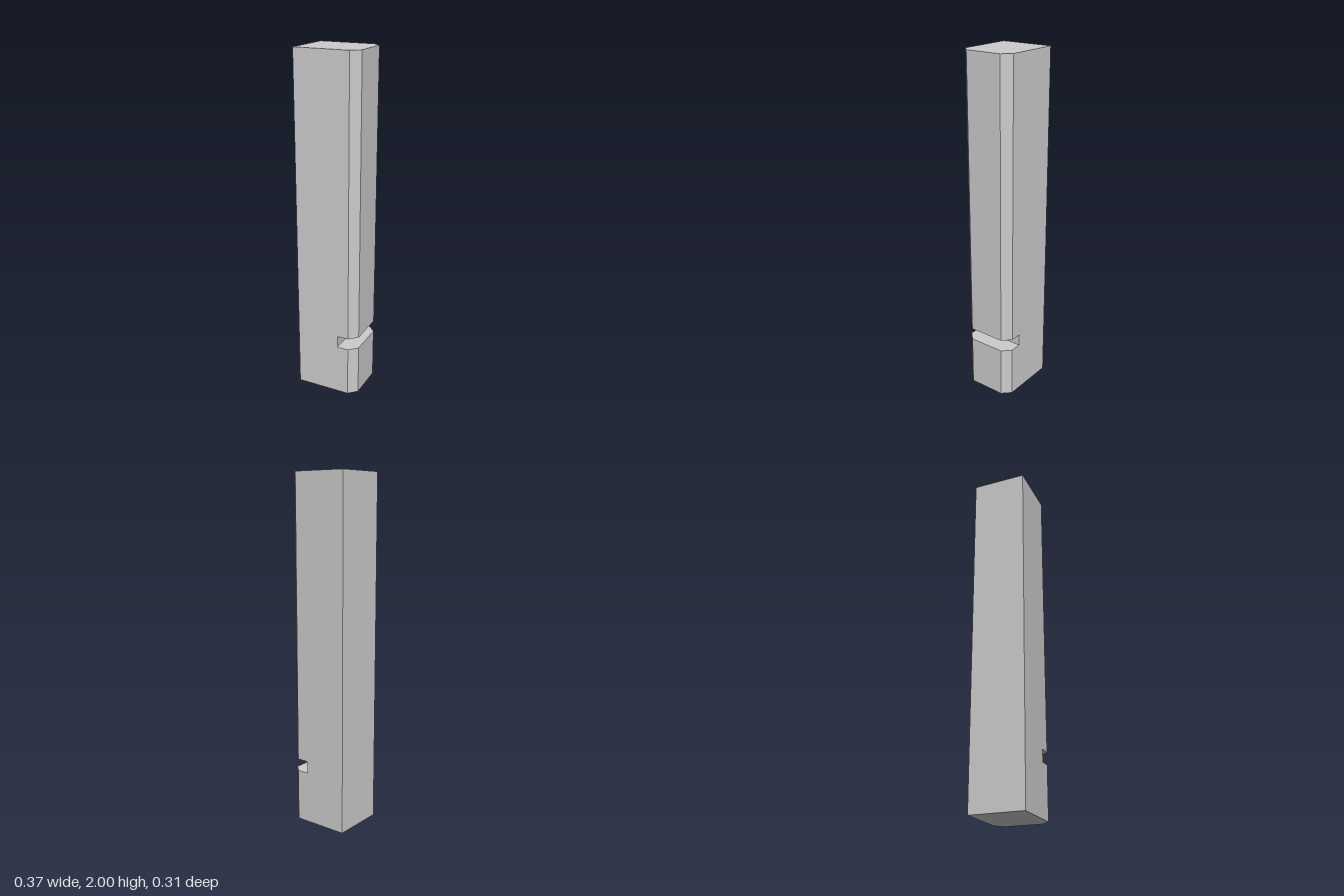
import * as THREE from 'three';

const X = 0.185, Z = 0.155;          // half width and half depth
const CX = 0.138, CZ = 0.108;        // where the chamfers begin and end
const NX = 0.07;                     // depth the slot reaches to
const SLOT = [0.3, 0.37], TOP = 2;   // slot heights and total height

// Outlines as [x, z], counter-clockwise seen from above
const full = [[NX, Z], [CX, Z], [X, CZ], [X, -CZ], [CX, -Z], [NX, -Z], [-X, -Z], [-X, Z]];
const ledge = full.slice(0, 6);
const neck = [full[0], ...full.slice(5)];

export function createModel() {
  const pos = [];

  // Convex polygon as a triangle fan
  const face = (pts) => {
    for (let i = 1; i < pts.length - 1; i++) pos.push(...pts[0], ...pts[i], ...pts[i + 1]);
  };
  const cap = (outline, y, up) => {
    const pts = outline.map(([x, z]) => [x, y, z]);
    face(up ? pts : pts.reverse());
  };
  const walls = (outline, y0, y1) => outline.forEach(([x, z], i) => {
    const [u, w] = outline[(i + 1) % outline.length];
    face([[x, y0, z], [u, y0, w], [u, y1, w], [x, y1, z]]);
  });

  // Foot below the slot, neck beside it, long shaft above it
  walls(full, 0, SLOT[0]);
  walls(neck, SLOT[0], SLOT[1]);
  walls(full, SLOT[1], TOP);

  // Ends of the post, then floor and ceiling of the slot
  cap(full, 0, false);
  cap(full, TOP, true);
  cap(ledge, SLOT[0], true);
  cap(ledge, SLOT[1], false);

  const geometry = new THREE.BufferGeometry();
  geometry.setAttribute('position', new THREE.Float32BufferAttribute(pos, 3));
  geometry.computeVertexNormals();

  const post = new THREE.Mesh(geometry, new THREE.MeshStandardMaterial({ color: 0xcccccc, flatShading: true }));
  post.name = 'slottedPost';
  const group = new THREE.Group();
  group.name = 'chamferedPost';
  group.add(post);
  return group;
}
